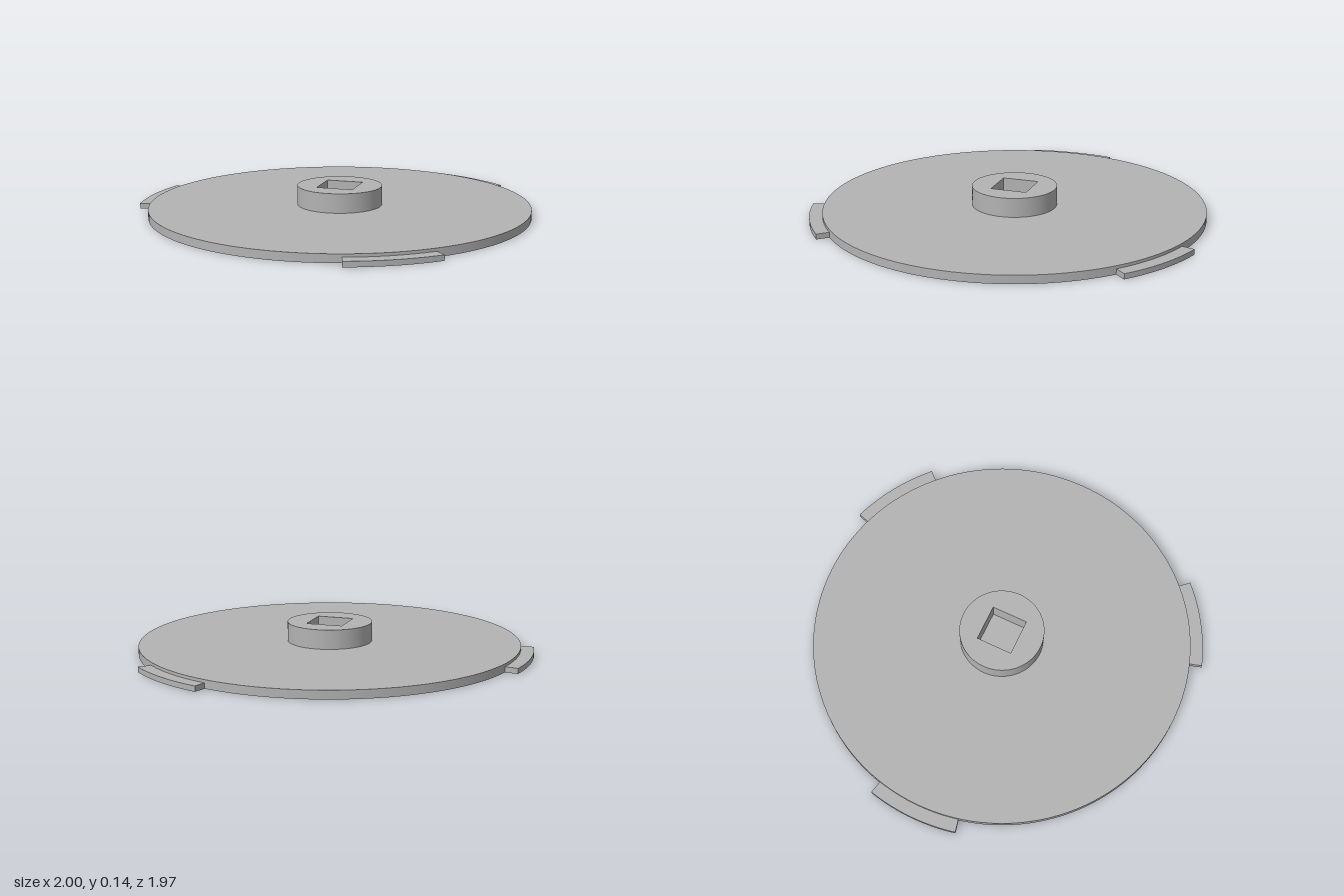
import * as THREE from 'three';
import { toCreasedNormals } from 'three/addons/utils/BufferGeometryUtils.js';

const CX = 0.032;         // disc centre, offset so the tabs balance the width
const DISC_R = 0.967, DISC_H = 0.042;
const TAB_R = 1.032, TAB_H = 0.027, TAB_HALF = 0.225;
const HUB_R = 0.215, HUB_TOP = 0.14, SOCKET = 0.093;

// Extrude a plan shape upwards, with smooth curves and sharp edges
function extrudeUp(shape, height, curveSegments) {
  const geo = new THREE.ExtrudeGeometry(shape, { depth: height, bevelEnabled: false, curveSegments });
  geo.rotateX(-Math.PI / 2);
  return toCreasedNormals(geo, 0.5);
}

export function createModel() {
  const group = new THREE.Group();
  group.name = 'lockingDisc';
  const grey = new THREE.MeshStandardMaterial({ color: 0xb3b3b3 });
  grey.name = 'grey';

  const add = (name, geo, y) => {
    const mesh = new THREE.Mesh(geo, grey);
    mesh.name = name;
    mesh.position.set(CX, y, 0);
    group.add(mesh);
    return mesh;
  };

  // Flat disc
  add('disc', new THREE.CylinderGeometry(DISC_R, DISC_R, DISC_H, 128), DISC_H / 2);

  // Round hub with a square socket, its floor being the disc top
  const hub = new THREE.Shape().absarc(0, 0, HUB_R, 0, Math.PI * 2, false);
  const s = SOCKET;
  hub.holes.push(new THREE.Path([[-s, -s], [-s, s], [s, s], [s, -s]].map(p => new THREE.Vector2(...p))));
  add('hub', extrudeUp(hub, HUB_TOP - DISC_H, 64), DISC_H);

  // Three thin bayonet tabs around the rim
  const tab = new THREE.Shape();
  tab.absarc(0, 0, TAB_R, -TAB_HALF, TAB_HALF, false);
  tab.absarc(0, 0, DISC_R - 0.007, TAB_HALF, -TAB_HALF, true);
  const tabGeo = extrudeUp(tab, TAB_H, 16);
  for (let i = 0; i < 3; i++) {
    add('rimTab' + (i + 1), tabGeo, 0).rotation.y = Math.PI + i * Math.PI * 2 / 3;
  }
  return group;
}
